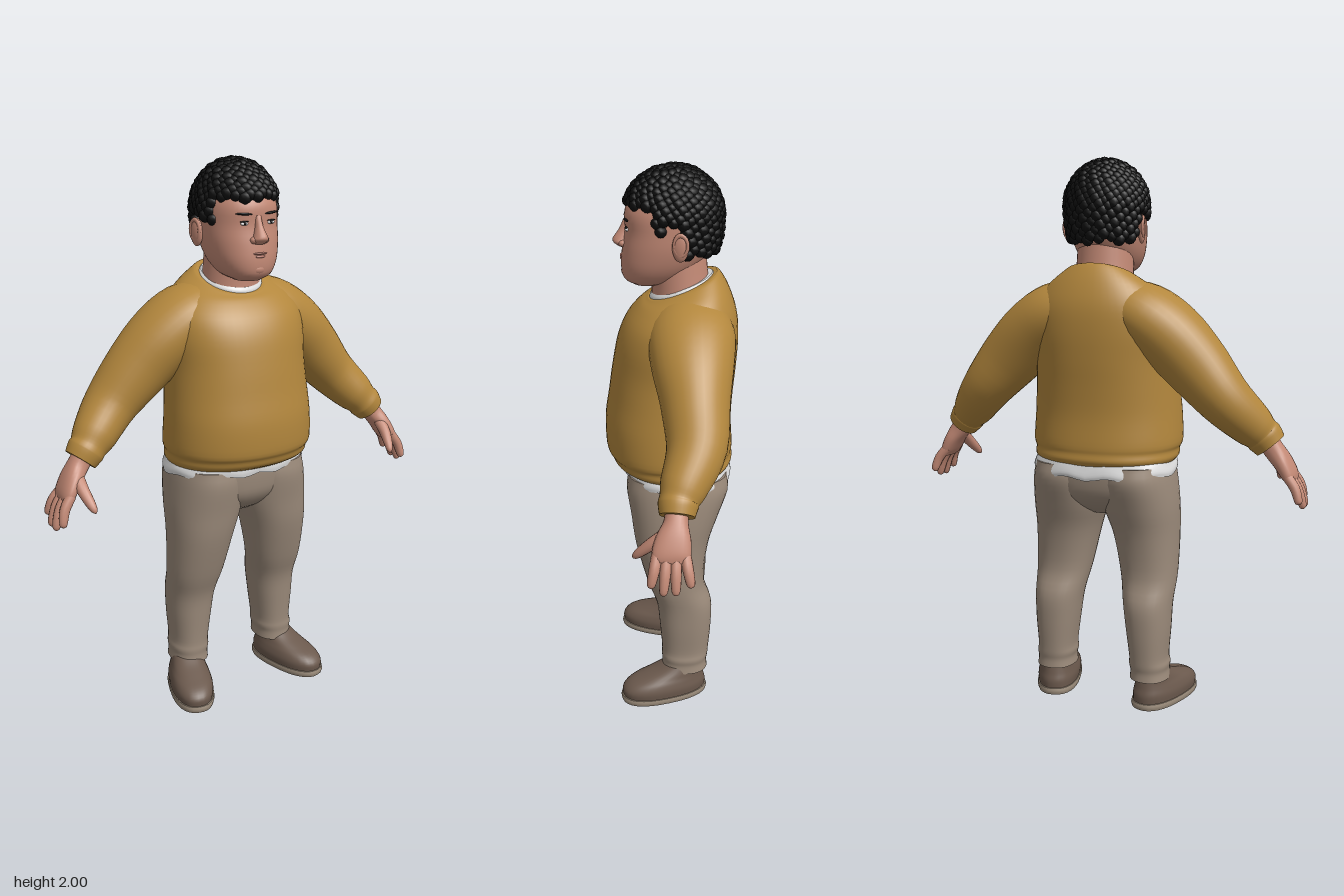
import * as THREE from 'three';
import { mergeGeometries } from 'three/addons/utils/BufferGeometryUtils.js';

const mat = (name, color) => Object.assign(new THREE.MeshStandardMaterial({ color }), { name });
const M = {
  skin: mat('skin', 0xc48a76), lips: mat('lips', 0xb5786a), hair: mat('black hair', 0x0d0d0d),
  sweater: mat('mustard knit', 0xb3873d), shirt: mat('white cotton', 0xdedede),
  trousers: mat('taupe cloth', 0x9c8b7b), shoe: mat('brown leather', 0x6b594d),
  sole: mat('pale rubber', 0x9a8b7a),
};

// Smooth skin over rows of [x, y, z, radiusA, radiusZ, tilt].
// Rings lie flat (rows run upward), or square to the path when "follow" is set; "pow" makes them boxier.
function loft(rows, { follow = false, pow = 2, sides = 32, steps = 4 } = {}) {
  const curve = (f) => new THREE.CatmullRomCurve3(rows.map(f), false, 'catmullrom', 0.5);
  const path = curve((r) => new THREE.Vector3(r[0], r[1], r[2]));
  const size = curve((r) => new THREE.Vector3(r[3], r[4], r[5] || 0));
  const n = (rows.length - 1) * steps, pos = [], idx = [], Z = new THREE.Vector3(0, 0, 1);
  const bend = (v) => Math.sign(v) * Math.abs(v) ** (2 / pow);
  const ring = (k) => {
    const c = path.getPoint(k / n), s = size.getPoint(k / n);
    const t = follow ? path.getTangent(k / n) : new THREE.Vector3(0, 1, 0);
    const A = t.clone().cross(Z).normalize(), B = A.clone().cross(t);
    for (let j = 0; j < sides; j++) {
      const a = (j / sides) * Math.PI * 2, v = s.y * bend(Math.sin(a));
      const p = c.clone().addScaledVector(A, s.x * bend(Math.cos(a))).addScaledVector(B, v);
      pos.push(p.x, p.y + s.z * v, p.z);
    }
    return c;
  };
  for (let k = 0; k <= n; k++) ring(k);
  for (let k = 0; k < n; k++) for (let j = 0; j < sides; j++) {
    const a = k * sides + j, c = k * sides + ((j + 1) % sides), b = a + sides, d = c + sides;
    idx.push(a, b, c, c, b, d);
  }
  // end caps with their own sharp edge
  for (const k of [0, n]) {
    const start = pos.length / 3, c = ring(k), mid = start + sides;
    pos.push(c.x, c.y, c.z);
    for (let j = 0; j < sides; j++) {
      const a = start + j, b = start + ((j + 1) % sides);
      if (k) idx.push(mid, b, a); else idx.push(mid, a, b);
    }
  }
  const g = new THREE.BufferGeometry();
  g.setAttribute('position', new THREE.Float32BufferAttribute(pos, 3));
  g.setIndex(idx);
  g.computeVertexNormals();
  return g;
}

function add(parent, name, geometry, material) {
  const m = new THREE.Mesh(geometry, material);
  m.name = name;
  parent.add(m);
  return m;
}

function ball(parent, name, material, [x, y, z], [sx, sy, sz]) {
  const m = add(parent, name, new THREE.SphereGeometry(1, 20, 14), material);
  m.position.set(x, y, z);
  m.scale.set(sx, sy, sz);
  return m;
}

// Tight curls spread evenly over the skull above the hairline
function curls() {
  const list = [], total = 600;
  const hairline = (z) => (z > 0.06 ? 1.872 : z > 0.025 ? 1.785 : z > -0.04 ? 1.82 : 1.712);
  for (let i = 0; i < total; i++) {
    const h = 1 - (2 * (i + 0.5)) / total, r = Math.sqrt(1 - h * h), a = i * 2.39996;
    const x = 0.135 * r * Math.cos(a), y = 1.825 + h * (h > 0 ? 0.152 : 0.25);
    const z = -0.01 + (Math.sin(a) > 0 ? 0.163 : 0.153) * r * Math.sin(a);
    if (y < hairline(z)) continue;
    list.push(new THREE.SphereGeometry(0.0225 + 0.002 * Math.sin(i * 7), 8, 6).translate(x, y, z));
  }
  return mergeGeometries(list);
}

function buildHead(g) {
  add(g, 'neck', loft([[0, 1.53, -0.04, 0.11, 0.11], [0, 1.6, -0.03, 0.104, 0.1],
    [0, 1.7, -0.02, 0.1, 0.1]]), M.skin);
  add(g, 'head', loft([[0, 1.592, 0.08, 0.045, 0.05], [0, 1.615, 0.062, 0.085, 0.102],
    [0, 1.66, 0.04, 0.113, 0.133], [0, 1.72, 0.018, 0.128, 0.15], [0, 1.78, 0.008, 0.131, 0.15],
    [0, 1.85, 0.004, 0.127, 0.152], [0, 1.915, -0.005, 0.1, 0.115],
    [0, 1.955, -0.01, 0.05, 0.05]], { pow: 2.25, sides: 48 }), M.skin);
  add(g, 'nose', loft([[0, 1.722, 0.16, 0.02, 0.02], [0, 1.736, 0.168, 0.028, 0.03],
    [0, 1.75, 0.168, 0.023, 0.031], [0, 1.78, 0.158, 0.014, 0.02],
    [0, 1.815, 0.15, 0.012, 0.012]], { sides: 16 }), M.skin);
  ball(g, 'upperLip', M.lips, [0, 1.69, 0.165], [0.03, 0.005, 0.011]);
  ball(g, 'lowerLip', M.lips, [0, 1.68, 0.165], [0.024, 0.006, 0.011]);
  ball(g, 'chin', M.skin, [0, 1.637, 0.143], [0.04, 0.025, 0.03]);
  for (const s of [-1, 1]) {
    ball(g, 'nostril', M.skin, [s * 0.021, 1.735, 0.164], [0.014, 0.012, 0.016]);
    ball(g, 'brow', M.hair, [s * 0.054, 1.822, 0.153], [0.03, 0.004, 0.006]).rotation.set(0, s * 0.2, s * 0.06);
    ball(g, 'eyeWhite', M.shirt, [s * 0.051, 1.79, 0.151], [0.015, 0.006, 0.006]);
    ball(g, 'iris', M.hair, [s * 0.051, 1.791, 0.1535], [0.006, 0.006, 0.005]);
    ball(g, 'upperLid', M.hair, [s * 0.052, 1.797, 0.1525], [0.018, 0.002, 0.005]);
    ball(g, 'ear', M.skin, [s * 0.138, 1.748, -0.025], [0.013, 0.048, 0.028]).rotation.y = -s * 0.25;
    const rim = add(g, 'earRim', new THREE.TorusGeometry(0.023, 0.006, 8, 20), M.skin);
    rim.position.set(s * 0.144, 1.757, -0.027);
    rim.rotation.y = Math.PI / 2 - s * 0.25;
    rim.scale.set(1, 1.45, 1);
  }
  add(g, 'hair', curls(), M.hair);
}

function buildTorso(g) {
  add(g, 'sweaterBody', loft([[0, 0.925, -0.015, 0.255, 0.195], [0, 0.945, -0.005, 0.268, 0.218],
    [0, 0.97, 0.002, 0.268, 0.222], [0, 1.0, 0.008, 0.277, 0.23], [0, 1.1, 0.012, 0.272, 0.228],
    [0, 1.2, 0.002, 0.264, 0.223], [0, 1.3, -0.01, 0.258, 0.22], [0, 1.4, -0.023, 0.262, 0.212],
    [0, 1.48, -0.036, 0.25, 0.193, -0.05], [0, 1.545, -0.046, 0.2, 0.158, -0.15],
    [0, 1.583, -0.043, 0.135, 0.128, -0.35], [0, 1.588, -0.04, 0.116, 0.118, -0.4]],
  { pow: 2.2, sides: 56 }), M.sweater);
  add(g, 'shirtCollar', loft([[0, 1.565, -0.04, 0.114, 0.115, -0.34], [0, 1.585, -0.038, 0.113, 0.114, -0.34],
    [0, 1.596, -0.036, 0.104, 0.106, -0.34]]), M.shirt);
  // untucked hem hangs lower at the back and ripples a little
  const hem = loft([[0, 0.89, -0.02, 0.266, 0.197, 0.06], [0, 0.91, -0.02, 0.266, 0.199, 0.06],
    [0, 0.95, -0.015, 0.25, 0.19]], { pow: 2.4, sides: 64 });
  const p = hem.attributes.position;
  for (let i = 0; i < p.count; i++) {
    if (p.getY(i) < 0.93) p.setY(i, p.getY(i) + 0.006 * Math.sin(9 * Math.atan2(p.getZ(i), p.getX(i))));
  }
  hem.computeVertexNormals();
  add(g, 'shirtHem', hem, M.shirt);
  add(g, 'trouserSeat', loft([[0, 0.725, -0.01, 0.05, 0.07], [0, 0.76, -0.012, 0.13, 0.125],
    [0, 0.81, -0.016, 0.215, 0.165], [0, 0.87, -0.018, 0.256, 0.178], [0, 0.93, -0.018, 0.25, 0.18]],
  { pow: 2.4, sides: 48 }), M.trousers);
}

function buildArm(g, s) {
  const limb = (name, rows, material, opts) => add(g, name,
    loft(rows.map(([x, ...r]) => [x * s, ...r]), { follow: true, ...opts }), material);
  limb('sleeve', [[0.05, 1.495, -0.06, 0.085, 0.12], [0.16, 1.455, -0.063, 0.115, 0.148],
    [0.26, 1.385, -0.063, 0.122, 0.14], [0.36, 1.285, -0.068, 0.115, 0.116],
    [0.46, 1.175, -0.068, 0.095, 0.1], [0.545, 1.085, -0.025, 0.079, 0.08],
    [0.578, 1.05, -0.008, 0.066, 0.066], [0.59, 1.037, -0.004, 0.067, 0.066],
    [0.612, 1.01, 0, 0.059, 0.058]], M.sweater);
  limb('palm', [[0.59, 1.04, 0, 0.036, 0.038], [0.622, 0.995, 0.004, 0.036, 0.04],
    [0.652, 0.955, 0.012, 0.032, 0.056], [0.677, 0.912, 0.02, 0.027, 0.063],
    [0.688, 0.886, 0.022, 0.019, 0.057]], M.skin, { pow: 2.3, sides: 24 });
  // fingers: root z, tip z, tip x, tip y
  for (const [z0, z1, x1, y1] of [[0.066, 0.088, 0.715, 0.81], [0.035, 0.048, 0.728, 0.788],
    [0.005, 0.008, 0.73, 0.79], [-0.024, -0.042, 0.724, 0.815]]) {
    const at = (t, r) => [0.676 + (x1 - 0.676) * t + 0.012 * Math.sin(t * Math.PI), 0.91 + (y1 - 0.91) * t,
      z0 + (z1 - z0) * t, r, r];
    limb('finger', [at(0, 0.018), at(0.4, 0.018), at(0.8, 0.0155), at(0.95, 0.011), at(1, 0.003)],
      M.skin, { sides: 12, steps: 3 });
  }
  limb('thumb', [[0.64, 0.965, 0.03, 0.025, 0.022], [0.637, 0.93, 0.075, 0.022, 0.021],
    [0.628, 0.895, 0.113, 0.018, 0.017], [0.621, 0.873, 0.134, 0.012, 0.012],
    [0.618, 0.863, 0.142, 0.003, 0.003]], M.skin, { sides: 14 });
}

function buildLeg(g, s) {
  const rows = [[0.19, 0.11, -0.045, 0.073, 0.087], [0.189, 0.14, -0.045, 0.07, 0.085],
    [0.188, 0.165, -0.046, 0.074, 0.088], [0.186, 0.2, -0.048, 0.071, 0.089],
    [0.183, 0.3, -0.048, 0.081, 0.097], [0.178, 0.4, -0.042, 0.09, 0.103],
    [0.171, 0.5, -0.01, 0.104, 0.106], [0.156, 0.65, 0.002, 0.12, 0.134],
    [0.139, 0.76, -0.008, 0.136, 0.16], [0.131, 0.86, -0.018, 0.133, 0.184], [0.128, 0.92, -0.018, 0.124, 0.178]];
  add(g, 'trouserLeg', loft(rows.map(([x, ...r]) => [x * s, ...r]), { pow: 2.25 }), M.trousers);

  // shoe, toes turned out
  const shoe = new THREE.Group();
  shoe.name = 'shoe';
  shoe.position.set(s * 0.22, 0, 0.035);
  shoe.rotation.y = s * 0.28;
  add(shoe, 'sole', loft([[0, 0, 0, 0.08, 0.167], [0, 0.012, 0, 0.083, 0.17], [0, 0.024, 0, 0.081, 0.167]],
    { pow: 2.4, steps: 2 }), M.sole);
  add(shoe, 'shoeUpper', loft([[0, 0.02, 0, 0.078, 0.163], [0, 0.05, 0, 0.08, 0.163],
    [0, 0.075, -0.01, 0.074, 0.146], [0, 0.095, -0.035, 0.066, 0.116], [0, 0.115, -0.06, 0.06, 0.086],
    [0, 0.14, -0.08, 0.052, 0.058]], { pow: 2.3 }), M.shoe);
  g.add(shoe);
}

export function createModel() {
  const model = new THREE.Group();
  model.name = 'standingMan';
  const part = (name, build, ...args) => {
    const g = new THREE.Group();
    g.name = name;
    build(g, ...args);
    model.add(g);
  };
  part('head', buildHead);
  part('torso', buildTorso);
  for (const [side, s] of [['left', 1], ['right', -1]]) {
    part(side + 'Arm', buildArm, s);
    part(side + 'Leg', buildLeg, s);
  }
  return model;
}
